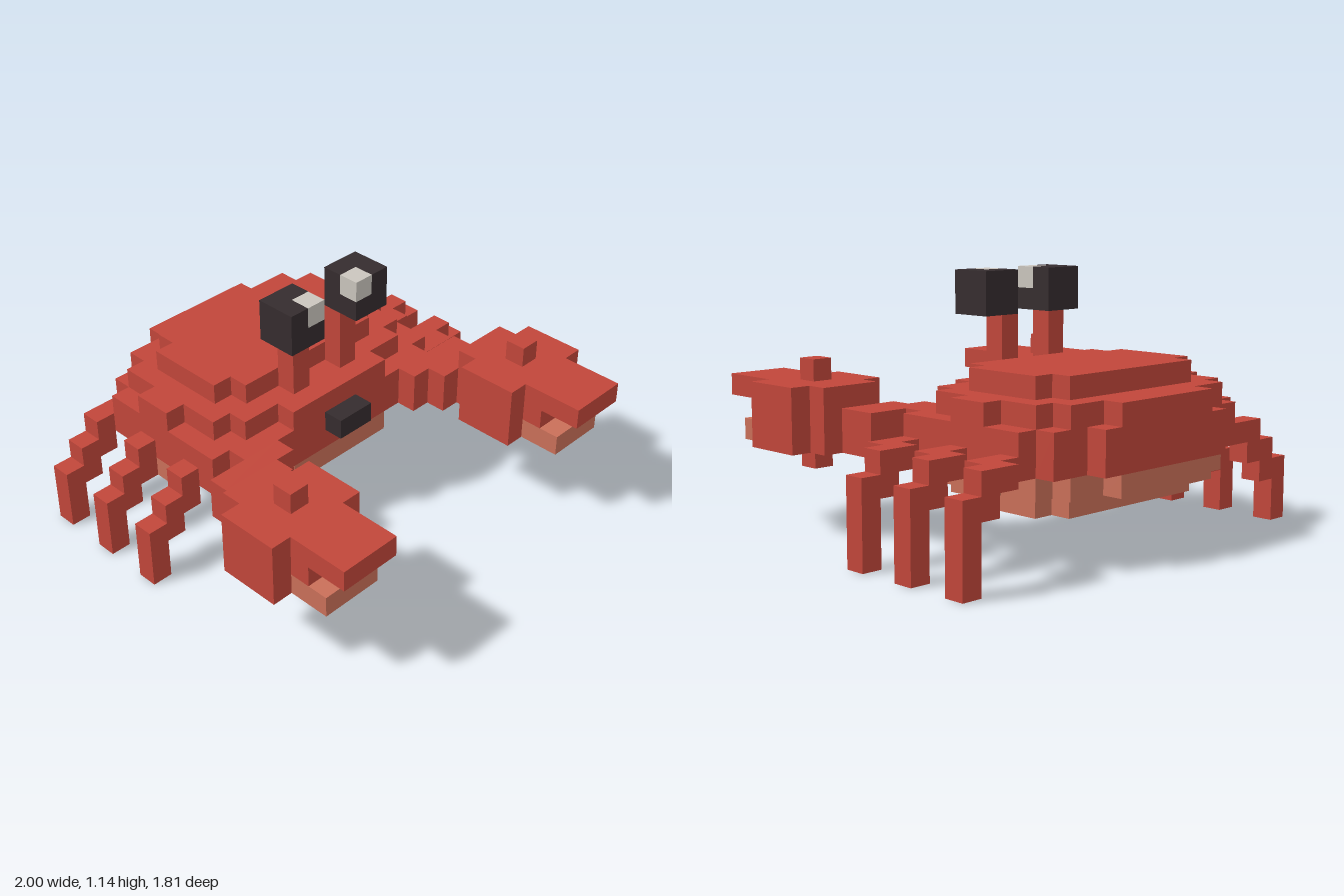
import * as THREE from 'three';

// All parts sit on a grid of cubes; cell edges are counted from the left, ground and back.
const U = 2 / 21;
const MID = 10; // grid column of the body's mirror plane

const mat = (name, color) => {
  const m = new THREE.MeshStandardMaterial({ color });
  m.name = name;
  return m;
};

export function createModel() {
  const red = mat('shell red', 0xc1463a);
  const pale = mat('belly salmon', 0xc96f59);
  const dark = mat('eye black', 0x352c2e);
  const white = mat('eye highlight', 0xcac5bd);

  const crab = new THREE.Group();
  crab.name = 'crab';

  const group = (name) => {
    const g = new THREE.Group();
    g.name = name;
    crab.add(g);
    return g;
  };

  // Box spanning grid edges x0..x1, y0..y1, z0..z1
  const box = (parent, name, material, x0, x1, y0, y1, z0, z1) => {
    const mesh = new THREE.Mesh(
      new THREE.BoxGeometry((x1 - x0) * U, (y1 - y0) * U, (z1 - z0) * U), material);
    mesh.position.set(((x0 + x1) / 2 - 10.5) * U, (y0 + y1) / 2 * U, ((z0 + z1) / 2 - 9.5) * U);
    mesh.name = name;
    parent.add(mesh);
  };

  // Layer made of centred rows: [half width, z0, z1]
  const layer = (parent, name, material, y0, y1, rows) => rows.forEach(([h, z0, z1]) =>
    box(parent, name, material, MID - h, MID + h, y0, y1, z0, z1));

  // Body, from belly to top of shell
  const small = [[4, 2, 3], [5, 3, 7], [4, 7, 8]];
  const round = [[3, 0, 1], [5, 1, 2], [6, 2, 4], [7, 4, 6], [6, 6, 8], [5, 8, 9], [3, 9, 10]];
  const wide = [[4, 0, 1], [6, 1, 2], [7, 2, 9], [4, 9, 10]];
  const body = group('body');
  layer(body, 'lowerBelly', pale, 2, 3, small);
  layer(body, 'belly', pale, 3, 4, round);
  layer(body, 'shellRim', red, 4, 6, wide);
  layer(body, 'shell', red, 6, 7, round);
  layer(body, 'shellTop', red, 7, 8, small);
  box(body, 'mouth', dark, 9, 11, 5, 6, 10, 11);

  for (const side of [-1, 1]) {
    const label = side > 0 ? 'left' : 'right';
    // Box given by distances from the mirror plane
    const sideBox = (parent, name, material, a, b, ...rest) => side > 0
      ? box(parent, name, material, MID + a, MID + b, ...rest)
      : box(parent, name, material, MID - b, MID - a, ...rest);

    // Stalked eyes with a highlight in the inner upper front corner
    const eye = group(label + 'Eye');
    sideBox(eye, 'stalk', red, 1, 2, 7, 10, 8, 9);
    sideBox(eye, 'eyeBottom', dark, 1, 3, 10, 11, 8, 10);
    sideBox(eye, 'eyeBack', dark, 1, 3, 11, 12, 8, 9);
    sideBox(eye, 'eyeOuter', dark, 2, 3, 11, 12, 9, 10);
    sideBox(eye, 'highlight', white, 1, 2, 11, 12, 9, 10);

    // Arm and claw
    const claw = group(label + 'Claw');
    sideBox(claw, 'shoulder', red, 4, 6, 4, 6, 9, 10);
    sideBox(claw, 'upperArm', red, 4, 8, 4, 6, 10, 11);
    sideBox(claw, 'forearm', red, 5, 8, 4, 6, 11, 12);
    sideBox(claw, 'wrist', red, 6, 9, 4, 7, 12, 13);
    sideBox(claw, 'palm', red, 5, 10, 4, 7, 13, 16);
    sideBox(claw, 'upperPincer', red, 6, 9, 6, 7, 16, 19);
    sideBox(claw, 'hinge', red, 6, 9, 5, 6, 16, 17);
    sideBox(claw, 'lowerPincer', pale, 6, 9, 4, 5, 16, 18);
    sideBox(claw, 'topSpike', red, 7, 8, 7, 8, 14, 15);
    sideBox(claw, 'bottomSpike', red, 7, 8, 3, 4, 14, 15);
  }

  // Three stepped legs on each side; the two sides bend differently
  for (const z of [1, 4, 7]) {
    const left = group('leftLeg');
    box(left, 'hip', red, 17, 19, 4, 5, z + 1, z + 2);
    box(left, 'thigh', red, 18, 19, 4, 5, z, z + 1);
    box(left, 'knee', red, 19, 20, 3, 5, z, z + 1);
    box(left, 'foot', red, 20, 21, 0, 4, z, z + 1);

    const right = group('rightLeg');
    box(right, 'hip', red, 2, z === 1 ? 4 : 3, 4, 5, z, z + 1);
    box(right, 'thigh', red, 2, 3, 3, 4, z, z + 1);
    box(right, 'knee', red, 1, 2, 2, 4, z, z + 1);
    box(right, 'foot', red, 0, 1, 0, 3, z, z + 1);
  }

  return crab;
}
